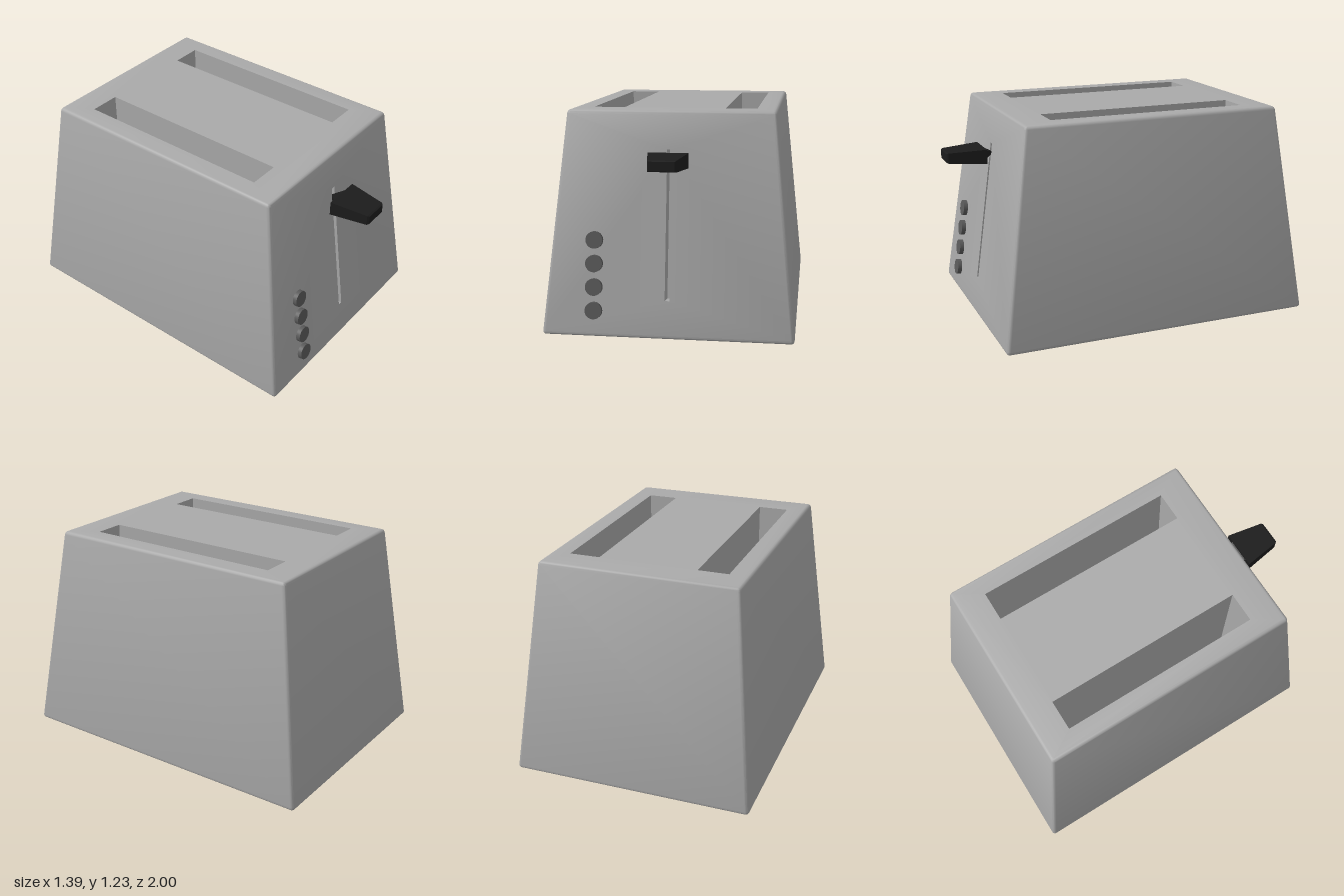
import * as THREE from 'three';
import { toCreasedNormals } from 'three/addons/utils/BufferGeometryUtils.js';

const H = 1.23, R = 0.02, ZC = -0.07;
const TILT = Math.atan(0.17 / H);
const halfX = y => THREE.MathUtils.lerp(0.695, 0.57, y / H);
const halfZ = y => THREE.MathUtils.lerp(0.93, 0.76, y / H);
const frontZ = y => ZC + halfZ(y);

const SLOT = { w: 0.175, z0: -0.66, z1: 0.51, depth: 0.85, x: 0.37 };
const GROOVE = { w: 0.026, y0: 0.21, y1: 1.025, depth: 0.1 };

// Flat polygon with rectangular holes, each rectangle given as [x0, y0, x1, y1]
function panel(corners, holes) {
  const shape = new THREE.Shape(corners.map(c => new THREE.Vector2(...c)));
  for (const [a, b, c, d] of holes) {
    shape.holes.push(new THREE.Path([[a, b], [a, d], [c, d], [c, b]].map(p => new THREE.Vector2(...p))));
  }
  return new THREE.ShapeGeometry(shape);
}

// Tapered shell with rounded edges, open at the slots and the groove
function shellGeometry() {
  const SEG = 4, rows = [], tris = [];
  for (const end of [0, 1]) {
    for (let i = 0; i <= SEG; i++) {
      const phi = (end ? i / SEG : i / SEG - 1) * Math.PI / 2;
      const y = (end ? H - R : R) + R * Math.sin(phi);
      const r = R * Math.cos(phi), ring = [];
      for (let q = 0; q < 4; q++) {
        const sx = q === 0 || q === 3 ? 1 : -1, sz = q < 2 ? 1 : -1;
        for (let j = 0; j <= SEG; j++) {
          const a = (q + j / SEG) * Math.PI / 2;
          ring.push(new THREE.Vector3(
            sx * (halfX(y) - R) + r * Math.cos(a), y,
            ZC + sz * (halfZ(y) - R) + r * Math.sin(a)));
        }
      }
      rows.push(ring);
    }
  }
  const tri = (a, b, c) => {
    const n = new THREE.Vector3().subVectors(b, a).cross(new THREE.Vector3().subVectors(c, a));
    if (n.length() > 1e-9) for (const v of [a, b, c]) tris.push(v.x, v.y, v.z);
  };
  const N = rows[0].length;
  for (let i = 0; i < rows.length - 1; i++) {
    for (let j = 0; j < N; j++) {
      if (i === SEG && j === SEG) continue; // flat front, filled by a panel
      const k = (j + 1) % N, [lo, hi] = [rows[i], rows[i + 1]];
      tri(lo[j], hi[j], hi[k]);
      tri(lo[j], hi[k], lo[k]);
    }
  }
  const addPanel = (geo, map) => {
    const p = geo.attributes.position, ix = geo.index.array;
    const v = i => map(p.getX(i), p.getY(i));
    for (let i = 0; i < ix.length; i += 3) tri(v(ix[i]), v(ix[i + 1]), v(ix[i + 2]));
  };
  // Front panel, lying on the sloped plane between the lower and upper bevels
  const lo = rows[SEG], hi = rows[SEG + 1];
  const [f0, f1] = [lo[SEG], hi[SEG]];
  addPanel(panel(
    [[-f0.x, f0.y], [f0.x, f0.y], [f1.x, f1.y], [-f1.x, f1.y]],
    [[-GROOVE.w / 2, GROOVE.y0, GROOVE.w / 2, GROOVE.y1]]),
    (x, y) => new THREE.Vector3(x, y, THREE.MathUtils.mapLinear(y, f0.y, f1.y, f0.z, f1.z)));
  // Top panel with the two slots, and the closed underside
  const rect = y => {
    const x = halfX(y) - R, z = halfZ(y) - R;
    return [[-x, -ZC - z], [x, -ZC - z], [x, -ZC + z], [-x, -ZC + z]];
  };
  const slots = [-1, 1].map(s =>
    [s * SLOT.x - SLOT.w / 2, -SLOT.z1, s * SLOT.x + SLOT.w / 2, -SLOT.z0]);
  addPanel(panel(rect(H), slots), (x, y) => new THREE.Vector3(x, H, -y));
  addPanel(panel(rect(0).map(([x, y]) => [x, -y]).reverse(), []), (x, y) => new THREE.Vector3(x, 0, y));

  const geo = new THREE.BufferGeometry();
  geo.setAttribute('position', new THREE.Float32BufferAttribute(tris, 3));
  return toCreasedNormals(geo, 0.6);
}

// Inward-facing box with one face left open (2 = top, 4 = front)
function wellGeometry(w, h, d, openFace) {
  const box = new THREE.BoxGeometry(w, h, d);
  const index = Array.from(box.index.array);
  index.splice(openFace * 6, 6);
  box.setIndex(index.reverse());
  box.clearGroups();
  const geo = box.toNonIndexed();
  geo.computeVertexNormals();
  return geo;
}

// Box along z whose back and front faces differ in size
function taperGeometry(back, front, z0, z1) {
  const geo = new THREE.BoxGeometry(1, 1, 1).toNonIndexed();
  const p = geo.attributes.position;
  for (let i = 0; i < p.count; i++) {
    const isFront = p.getZ(i) > 0, [w, h] = isFront ? front : back;
    p.setXYZ(i, p.getX(i) * w, p.getY(i) * h, isFront ? z1 : z0);
  }
  geo.computeVertexNormals();
  return geo;
}

export function createModel() {
  const bodyMat = new THREE.MeshStandardMaterial({ color: 0xaaaaaa });
  bodyMat.name = 'body grey';
  const buttonMat = new THREE.MeshStandardMaterial({ color: 0x5a5a5a });
  buttonMat.name = 'button grey';
  const leverMat = new THREE.MeshStandardMaterial({ color: 0x1c1c1c });
  leverMat.name = 'lever black';

  const model = new THREE.Group();
  model.name = 'toaster';
  const add = (parent, name, geo, mat, x = 0, y = 0, z = 0) => {
    const mesh = new THREE.Mesh(geo, mat);
    mesh.name = name;
    mesh.position.set(x, y, z);
    parent.add(mesh);
    return mesh;
  };

  add(model, 'body', shellGeometry(), bodyMat);

  // Bread slots
  const slotGeo = wellGeometry(SLOT.w, SLOT.depth, SLOT.z1 - SLOT.z0, 2);
  for (const s of [-1, 1]) {
    add(model, s > 0 ? 'leftSlot' : 'rightSlot', slotGeo, bodyMat,
      s * SLOT.x, H - SLOT.depth / 2, (SLOT.z0 + SLOT.z1) / 2);
  }

  // Lever groove, sunk square to the sloped front
  const gy = (GROOVE.y0 + GROOVE.y1) / 2;
  const grooveGeo = wellGeometry(GROOVE.w, (GROOVE.y1 - GROOVE.y0) / Math.cos(TILT), GROOVE.depth, 4);
  grooveGeo.translate(0, 0, -GROOVE.depth / 2);
  add(model, 'leverGroove', grooveGeo, bodyMat, 0, gy, frontZ(gy)).rotation.x = -TILT;

  // Lever knob: pointed root, flared grip, chamfered tip
  const lever = new THREE.Group();
  lever.name = 'lever';
  lever.position.y = 0.973;
  model.add(lever);
  add(lever, 'leverRoot', taperGeometry([0.002, 0.002], [0.14, 0.055], 0.71, 0.775), leverMat);
  add(lever, 'leverGrip', taperGeometry([0.22, 0.082], [0.152, 0.06], 0.775, 0.99), leverMat);
  add(lever, 'leverTip', taperGeometry([0.152, 0.06], [0.135, 0.05], 0.99, 1.0), leverMat);

  // Column of round buttons
  const buttonGeo = new THREE.CylinderGeometry(0.047, 0.047, 0.03, 32).rotateX(Math.PI / 2);
  for (let i = 0; i < 4; i++) {
    const y = 0.147 + i * 0.128;
    add(model, 'button' + (i + 1), buttonGeo, buttonMat, -0.404, y, frontZ(y) + 0.01).rotation.x = -TILT;
  }
  return model;
}
